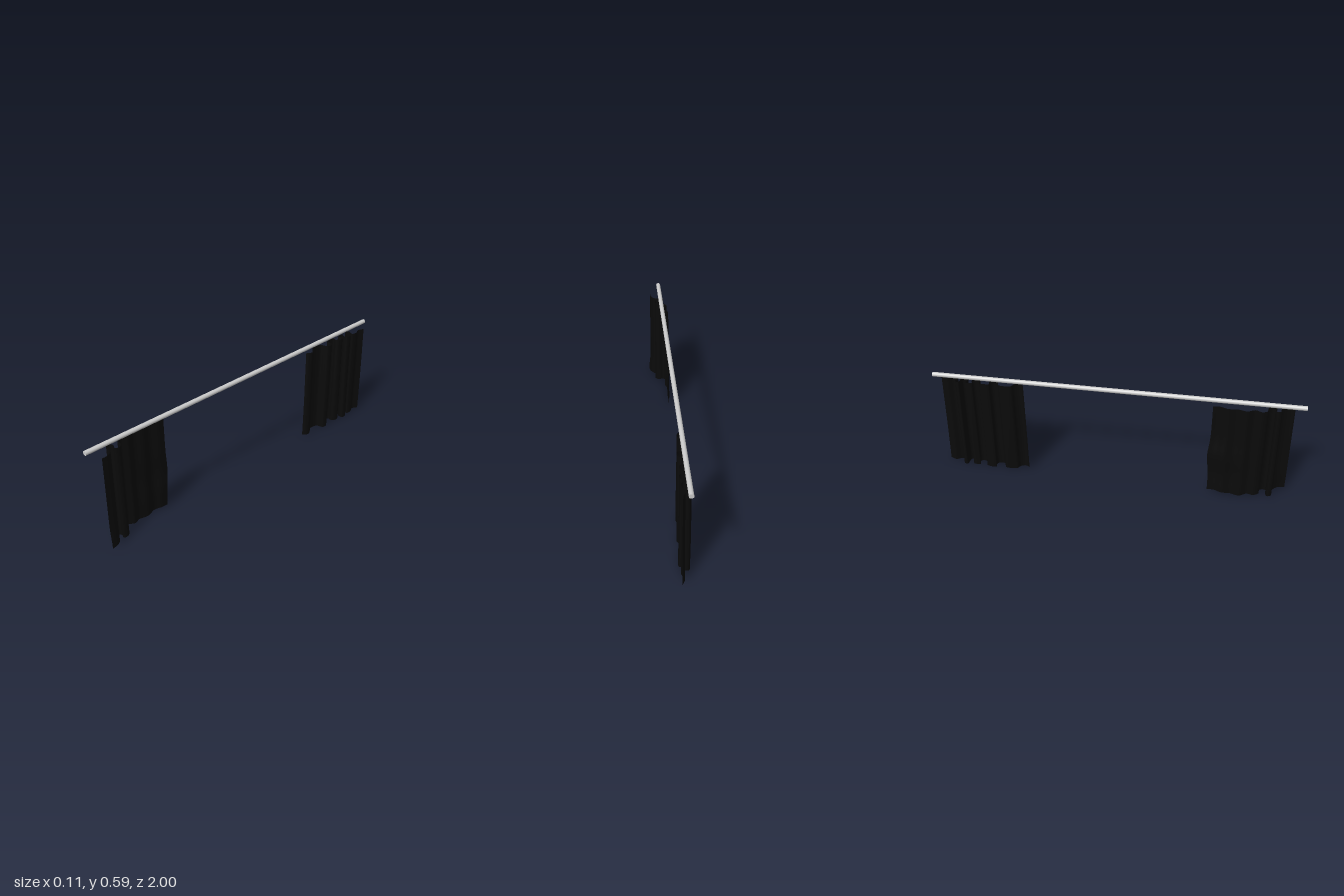
import * as THREE from 'three';

const HEIGHT = 0.555;
const cloth = new THREE.MeshStandardMaterial({ color: 0x0a0a0a, side: THREE.DoubleSide });
const metal = new THREE.MeshStandardMaterial({ color: 0xcccccc });

// Fold lines seen from above, as [x, z] points
const nearFolds = [
  [0.043, 0.945], [0.038, 0.905], [0.02, 0.88], [0, 0.872], [-0.022, 0.875], [-0.03, 0.855],
  [-0.012, 0.842], [0.014, 0.85], [0.02, 0.825], [0, 0.805], [-0.028, 0.805], [-0.045, 0.775],
  [-0.032, 0.74], [-0.048, 0.7], [-0.036, 0.65], [-0.044, 0.6], [-0.03, 0.56], [-0.03, 0.522],
];
const farFolds = [
  [0.02, -0.965], [0.006, -0.93], [0.02, -0.9], [0.014, -0.868], [-0.018, -0.875], [-0.028, -0.855],
  [0, -0.85], [0.022, -0.845], [0.022, -0.815], [0, -0.81], [-0.02, -0.82], [-0.02, -0.78],
  [0, -0.787], [0.015, -0.78], [0.015, -0.75], [0, -0.738], [-0.02, -0.74], [-0.02, -0.685],
  [0, -0.69], [0.02, -0.68], [0.02, -0.65], [0, -0.64], [-0.02, -0.63], [-0.022, -0.565],
  [0, -0.55], [0.01, -0.525], [0.002, -0.505], [-0.01, -0.498],
];

// Hanging cloth: a smooth fold line swept downward; drape(point, t) shifts it, t = 0 top, 1 hem
function curtain(name, folds, hem, drape) {
  const curve = new THREE.CatmullRomCurve3(folds.map(([x, z]) => new THREE.Vector3(x, 0, z)));
  const cols = 180, rows = 28;
  const line = curve.getSpacedPoints(cols);
  const geometry = new THREE.PlaneGeometry(1, 1, cols, rows);
  const pos = geometry.attributes.position;
  for (let r = 0; r <= rows; r++) {
    for (let c = 0; c <= cols; c++) {
      const t = r / rows, p = line[c].clone(), s = c / cols;
      const top = HEIGHT - 0.003 * (0.5 + 0.5 * Math.sin(s * 19));
      const bottom = hem * (0.5 + 0.5 * Math.sin(s * 14 + 1));
      drape(p, t);
      pos.setXYZ(r * (cols + 1) + c, p.x, top + (bottom - top) * t, p.z);
    }
  }
  geometry.computeVertexNormals();
  const mesh = new THREE.Mesh(geometry, cloth);
  mesh.name = name;
  return mesh;
}

export function createModel() {
  const group = new THREE.Group();
  group.name = 'curtainsOnRod';

  // Rod
  const rod = new THREE.Mesh(new THREE.CylinderGeometry(0.0125, 0.0125, 2, 32), metal);
  rod.name = 'rod';
  rod.rotation.x = Math.PI / 2;
  rod.position.set(-0.0125, 0.581, 0);
  group.add(rod);

  // Loosely hanging curtain, bulging around mid height with a flared outer hem
  group.add(curtain('nearCurtain', nearFolds, 0.012, (p, t) => {
    const bulge = Math.exp(-(((t - 0.58) / 0.15) ** 2));
    const inner = THREE.MathUtils.smoothstep(0.95 - p.z, 0.1, 0.42);
    const flare = THREE.MathUtils.smoothstep(t, 0.75, 1);
    p.x -= 0.008 * bulge * inner;
    p.x += 0.01 * flare * THREE.MathUtils.smoothstep(p.z, 0.85, 0.94);
    p.x -= 0.007 * flare * inner;
    p.z -= 0.012 * bulge * THREE.MathUtils.smoothstep(0.95 - p.z, 0.3, 0.42);
    p.x += 0.006 * Math.sin(p.z * 35 + t * 5) * inner * t * (1 - t);
  }));

  // Evenly pleated curtain, slightly wider at the hem
  group.add(curtain('farCurtain', farFolds, 0.004, (p, t) => {
    p.z += (p.z + 0.73) * 0.02 * t;
    p.x += 0.003 * t * Math.sin(p.z * 25 + t * 3);
  }));

  return group;
}
